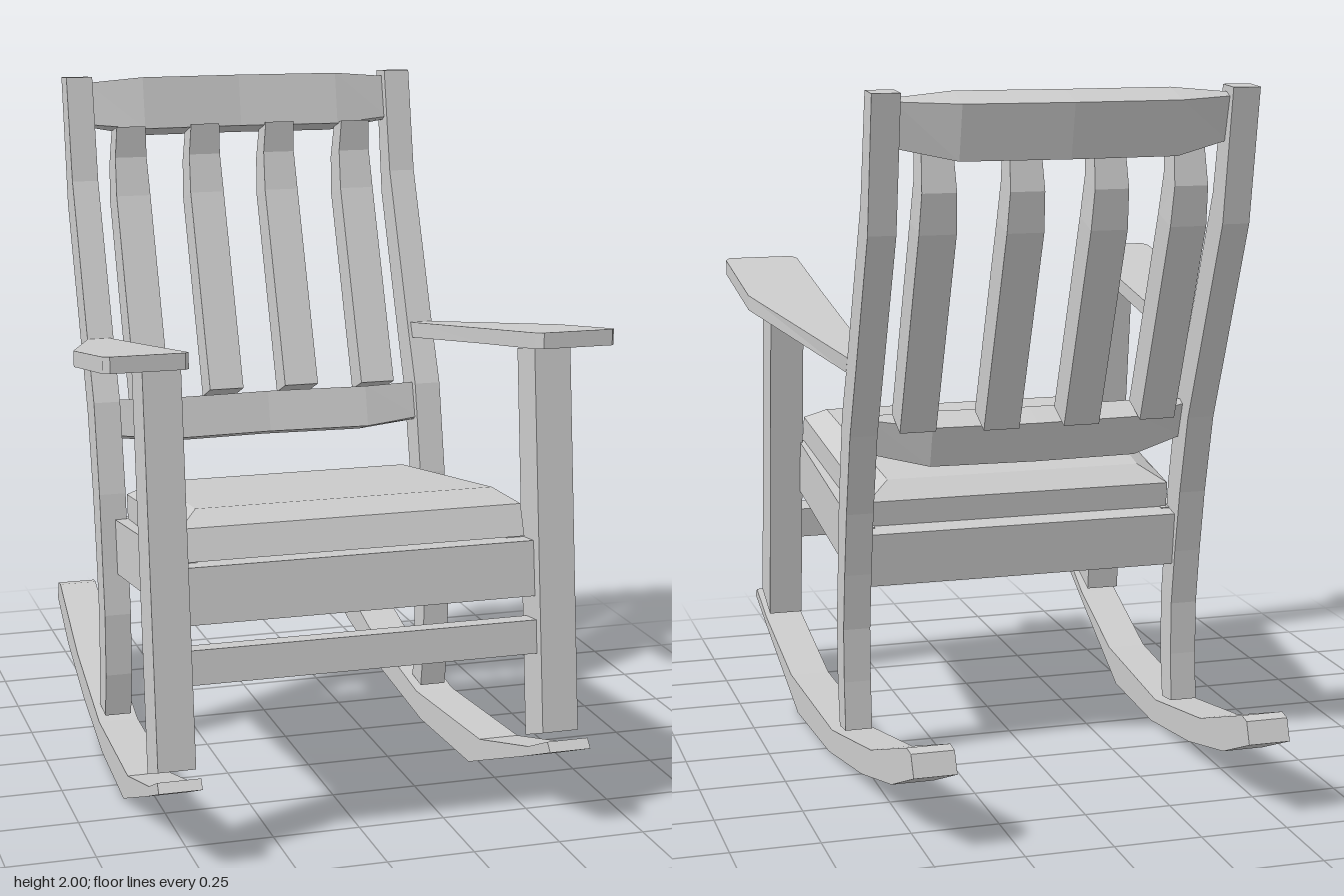
import * as THREE from 'three';

// Skin a list of equal-sized corner rings into a closed, faceted solid.
function loft(rings) {
  const n = rings[0].length, tris = [];
  for (let i = 0; i < rings.length - 1; i++) {
    for (let j = 0; j < n; j++) {
      const k = (j + 1) % n, a = rings[i], b = rings[i + 1];
      tris.push([a[j], a[k], b[k]], [a[j], b[k], b[j]]);
    }
  }
  const first = rings[0], last = rings[rings.length - 1];
  for (let j = 1; j < n - 1; j++) {
    tris.push([first[0], first[j + 1], first[j]], [last[0], last[j], last[j + 1]]);
  }
  // Turn the faces outwards whichever way the rings run.
  let volume = 0;
  const v = tris.map(t => t.map(p => new THREE.Vector3(...p)));
  for (const [a, b, c] of v) volume += a.dot(b.clone().cross(c));
  const pos = v.flatMap(([a, b, c]) => (volume < 0 ? [a, c, b] : [a, b, c])).flatMap(p => p.toArray());
  const geo = new THREE.BufferGeometry();
  geo.setAttribute('position', new THREE.Float32BufferAttribute(pos, 3));
  geo.computeVertexNormals();
  return geo;
}

// Bar seen from the side: each station is [z, y, z, y] for its two edges.
function sideBar(stations, centre, width) {
  const cx = typeof centre === 'function' ? centre : () => centre;
  return loft(stations.map(([z1, y1, z2, y2]) => {
    const h = width / 2;
    return [[cx(z1) - h, y1, z1], [cx(z1) + h, y1, z1], [cx(z2) + h, y2, z2], [cx(z2) - h, y2, z2]];
  }));
}

// Crosswise rail with one constant four-corner [z, y] section.
function crossRail(section, half) {
  return loft([-half, half].map(x => section.map(([z, y]) => [x, y, z])));
}

export function createModel() {
  const group = new THREE.Group();
  const paint = new THREE.MeshStandardMaterial({ color: 0xcccccc });
  paint.name = 'light grey';
  const add = (name, geo) => {
    const mesh = new THREE.Mesh(geo, paint);
    mesh.name = name;
    group.add(mesh);
  };

  for (const s of [1, -1]) {
    const side = s > 0 ? 'left' : 'right';

    // Curved rocker, toed in towards the back
    add(side + 'Rocker', sideBar([
      [0.91, 0.26, 0.93, 0.235], [0.78, 0.2, 0.74, 0.155], [0.44, 0.1, 0.36, 0],
      [-0.07, 0.08, -0.03, 0], [-0.5, 0.16, -0.4, 0.055], [-0.86, 0.285, -0.71, 0.13],
      [-0.9, 0.28, -0.925, 0.22],
    ], z => s * (0.515 + 0.043 * z), 0.12));

    // Leaning front leg
    add(side + 'FrontLeg', sideBar([[0.868, 0.27, 0.74, 0.22], [0.74, 1.34, 0.613, 1.315]], s * 0.55, 0.105));

    // Back leg sweeping up into the back post
    add(side + 'BackPost', sideBar([
      [-0.08, 0.095, -0.16, 0.105], [-0.06, 0.23, -0.15, 0.25], [-0.06, 0.42, -0.15, 0.41],
      [-0.08, 0.56, -0.175, 0.58], [-0.11, 0.785, -0.21, 0.77], [-0.17, 1.055, -0.27, 1.01],
      [-0.24, 1.21, -0.35, 1.2], [-0.44, 1.69, -0.52, 1.61], [-0.505, 2, -0.585, 1.995],
    ], s * 0.51, 0.08));

    // Sloping armrest, wide in front and narrow behind
    const armY = z => 1.39 + (z - 0.78) * 0.15;
    add(side + 'Armrest', loft([
      [0.8, 0.5, 0.7], [0.775, 0.485, 0.715], [0.385, 0.485, 0.715], [-0.25, 0.48, 0.55],
    ].map(([z, inner, outer]) => {
      const y = armY(z), b = z > 0 ? z : z + 0.02;
      return [[s * inner, y, z], [s * outer, y, z], [s * outer, y - 0.045, b], [s * inner, y - 0.045, b]];
    })));

    // Side rail of the seat frame
    add(side + 'SeatRail', sideBar([[0.69, 0.805, 0.71, 0.64], [-0.12, 0.705, -0.1, 0.54]], s * 0.475, 0.06));
  }

  // Seat frame and front stretcher
  add('frontSeatRail', crossRail([[0.68, 0.79], [0.765, 0.8], [0.785, 0.645], [0.7, 0.635]], 0.5));
  add('backSeatRail', crossRail([[-0.17, 0.695], [-0.1, 0.705], [-0.08, 0.545], [-0.15, 0.535]], 0.475));
  add('frontStretcher', crossRail([[0.725, 0.57], [0.8, 0.58], [0.81, 0.485], [0.735, 0.475]], 0.5));

  // Bevelled seat cushion
  add('seatCushion', loft([
    [0.49, 0.8, 0.715, 0.465, 0.705, -0.105],
    [0.49, 0.885, 0.68, 0.465, 0.78, -0.115],
    [0.43, 0.92, 0.61, 0.39, 0.83, -0.05],
  ].map(([fx, fy, fz, bx, by, bz]) => [[-fx, fy, fz], [fx, fy, fz], [bx, by, bz], [-bx, by, bz]])));

  // Bowed rails of the back: thick in the middle, thin at the posts
  const bowedRail = (z, top, bottom, height) => loft(
    [-0.48, -0.31, 0, 0.31, 0.48].map(x => {
      const a = Math.abs(x), end = a > 0.4, mid = a < 0.1;
      const front = z + (end ? -0.005 : mid ? 0 : 0.015);
      const back = z - (end ? 0.025 : mid ? 0.1 : 0.085);
      const drop = end ? 0.01 : 0.03;
      const t = top - (end ? height : 0), b = bottom + (end ? 0.015 : 0);
      return [[x, t, front], [x, b, front + 0.03], [x, b - drop, back + 0.035], [x, t - drop, back]];
    }));
  add('topRail', bowedRail(-0.53, 1.995, 1.84, 0.015));
  add('lowerBackRail', bowedRail(-0.195, 1.055, 0.935, 0));

  // Four bent back slats, the outer pair set slightly forward
  for (const x of [-0.36, -0.12, 0.12, 0.36]) {
    const dz = Math.abs(x) > 0.2 ? 0.025 : 0;
    const h = 0.053;
    add('backSlat', loft([
      [-0.235, 1.06, -0.33, 1.02, h], [-0.465, 1.64, -0.565, 1.61, h],
      [-0.495, 1.755, -0.585, 1.725, h - 0.004], [-0.485, 1.85, -0.565, 1.83, h - 0.008],
    ].map(([fz, fy, bz, by, w]) => [
      [x - w, fy, fz + dz], [x + w, fy, fz + dz], [x + w, by, bz + dz], [x - w, by, bz + dz],
    ])));
  }

  return group;
}
